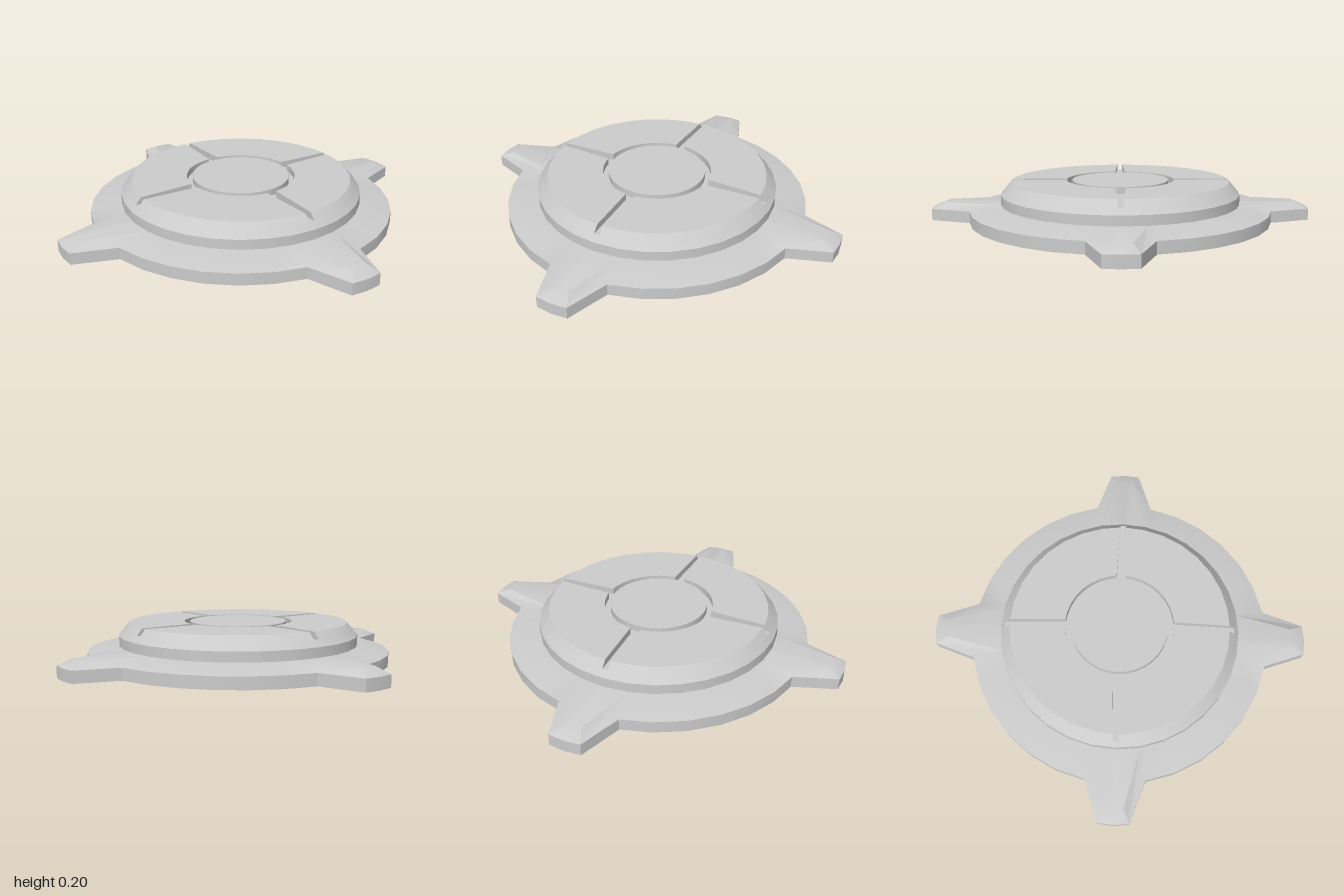
import * as THREE from 'three';
import { toCreasedNormals } from 'three/addons/utils/BufferGeometryUtils.js';

const SEGMENTS = 32;
const STEP = (Math.PI * 2) / SEGMENTS;
const FLOOR = 0.17, TOP = 0.205;
const material = new THREE.MeshStandardMaterial({ color: 0xcccccc });

// Point at a radius and angle; angle 0 faces +z and grows towards +x
const polar = (r, angle, y) => new THREE.Vector3(r * Math.sin(angle), y, r * Math.cos(angle));

// Skin quads between successive cross-sections, optionally capping both ends
function skin(sections, capped = false) {
  const pos = [];
  const tri = (a, b, c) => {
    if (a.equals(b) || b.equals(c) || a.equals(c)) return;
    for (const p of [a, b, c]) pos.push(p.x, p.y, p.z);
  };
  for (let i = 0; i + 1 < sections.length; i++) {
    const s = sections[i], n = sections[i + 1];
    for (let j = 0; j + 1 < s.length; j++) {
      tri(s[j], n[j], n[j + 1]);
      tri(s[j], n[j + 1], s[j + 1]);
    }
  }
  if (capped) {
    const s = sections[0], e = sections[sections.length - 1];
    for (let j = 1; j < 3; j++) {
      tri(s[0], s[j], s[j + 1]);
      tri(e[0], e[j + 1], e[j]);
    }
  }
  const geometry = new THREE.BufferGeometry();
  geometry.setAttribute('position', new THREE.Float32BufferAttribute(pos, 3));
  return geometry;
}

function addMesh(parent, name, geometry) {
  const mesh = new THREE.Mesh(toCreasedNormals(geometry, 0.5), material);
  mesh.name = name;
  parent.add(mesh);
  return mesh;
}

// Round plate with four tapered lugs; the upper face slopes down to the rim
function plateGeometry() {
  const sections = [];
  const add = (angle, outer, inset) => {
    const o = ([x, z], y) => new THREE.Vector3(x, y, z).applyAxisAngle(new THREE.Vector3(0, 1, 0), angle);
    sections.push([
      new THREE.Vector3(), o(outer, 0), o(outer, 0.06), o(inset, 0.09),
      new THREE.Vector3(0, 0.09, 0),
    ]);
  };
  for (let q = 0; q < 4; q++) {
    const turn = (q * Math.PI) / 2;
    add(turn, [-0.08, 0.99], [-0.05, 0.92]);
    add(turn, [0, 0.998], [0, 0.93]);
    add(turn, [0.08, 0.99], [0.05, 0.92]);
    for (let i = 1; i <= 7; i++) add(turn + i * STEP, [0, 0.792], [0, 0.632]);
  }
  sections.push(sections[0]);
  return skin(sections);
}

// Raised quarter pad, bevelled outside, with straight slots left at both ends
function padGeometry() {
  const ends = { inner: Math.asin(0.026 / 0.285), outer: Math.asin(0.015 / 0.59) };
  const sections = [];
  for (let i = 0; i <= 8; i++) {
    const clamp = (gap) => THREE.MathUtils.clamp(i * STEP, gap, Math.PI / 2 - gap);
    const inner = clamp(ends.inner), outer = clamp(ends.outer);
    const base = polar(0.285, inner, FLOOR);
    sections.push([
      base, polar(0.6046, outer, FLOOR), polar(0.575, outer, TOP), polar(0.285, inner, TOP), base,
    ]);
  }
  return skin(sections, true);
}

export function createModel() {
  const model = new THREE.Group();
  model.name = 'luggedCap';

  addMesh(model, 'luggedPlate', plateGeometry());

  // Drum whose top forms the floor of the grooves
  const profile = [[0.63, 0.08], [0.63, 0.14], [0.6046, FLOOR], [0, FLOOR]];
  addMesh(model, 'drum', new THREE.LatheGeometry(profile.map((p) => new THREE.Vector2(...p)), SEGMENTS));

  // Four pads separated by the cross-shaped slots
  const pads = new THREE.Group();
  pads.name = 'quarterPads';
  for (let q = 0; q < 4; q++) {
    addMesh(pads, 'quarterPad', padGeometry()).rotation.y = (q * Math.PI) / 2;
  }
  model.add(pads);

  // Centre disc inside the ring groove
  const disc = new THREE.CylinderGeometry(0.255, 0.255, TOP - FLOOR, SEGMENTS);
  addMesh(model, 'centreDisc', disc).position.y = (TOP + FLOOR) / 2;

  return model;
}
